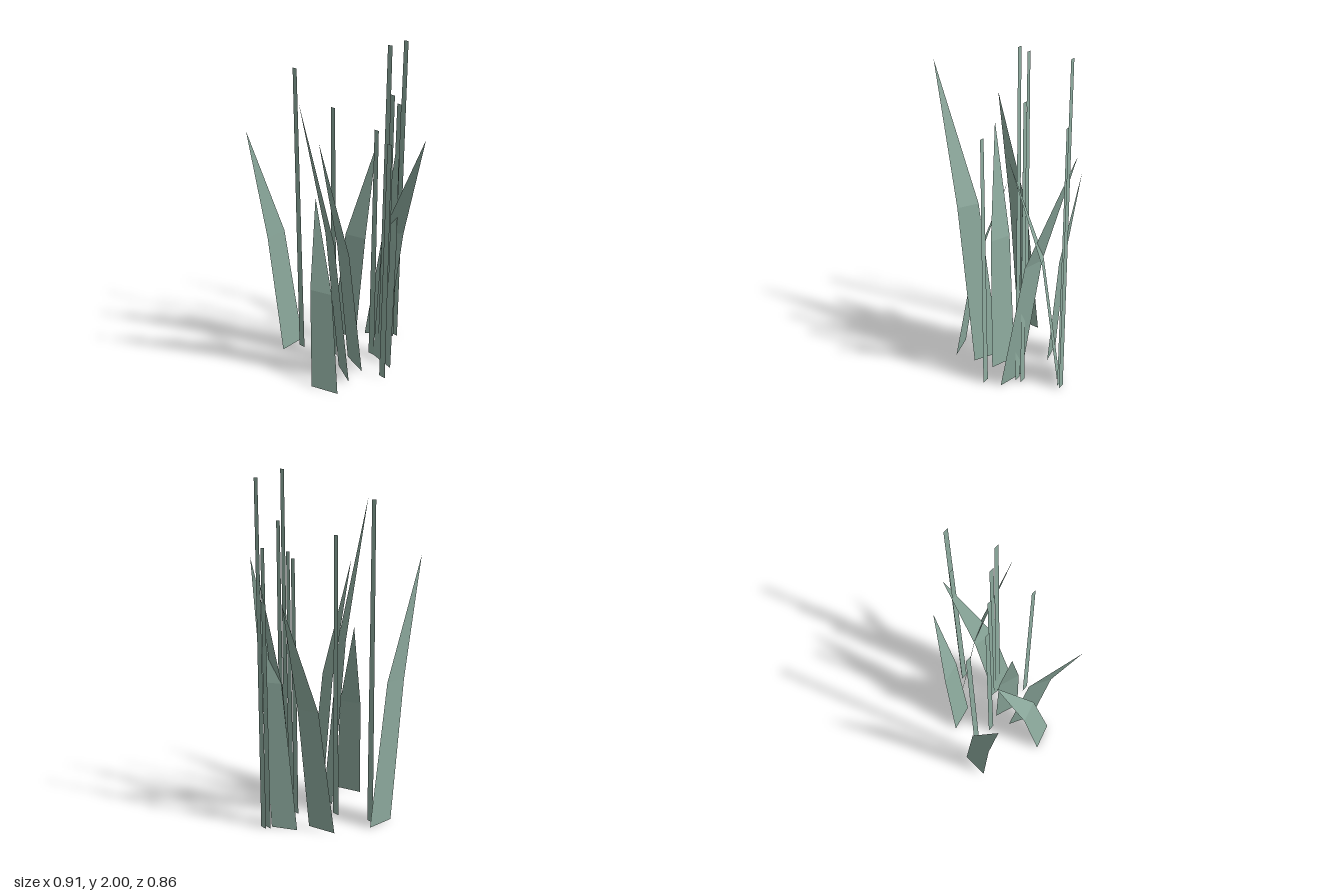
import * as THREE from 'three';

// Flat strip from horizontal rungs; each rung is centre x, y, z and half width x, z.
function strip(rungs) {
  const pos = [];
  for (let i = 0; i < rungs.length - 1; i++) {
    const [a, b, c, d] = [rungs[i], rungs[i + 1]].flatMap(([x, y, z, hx, hz]) => [
      [x - hx, y, z - hz], [x + hx, y, z + hz],
    ]);
    pos.push(...a, ...b, ...d);
    // a rung of no width is a pointed tip
    if (rungs[i + 1][3] || rungs[i + 1][4]) pos.push(...a, ...d, ...c);
  }
  const g = new THREE.BufferGeometry();
  g.setAttribute('position', new THREE.Float32BufferAttribute(pos, 3));
  g.computeVertexNormals();
  return g;
}

export function createModel() {
  const group = new THREE.Group();
  const reed = new THREE.MeshStandardMaterial({
    name: 'reedGreen', color: 0x8fada0, side: THREE.DoubleSide, flatShading: true,
  });
  const add = (name, rungs) => {
    const mesh = new THREE.Mesh(strip(rungs), reed);
    mesh.name = name;
    group.add(mesh);
  };

  // Bent leaves: base x, z, width vector x, z, lean x, z, height
  const leaves = [
    [-0.335, -0.033, -0.06, 0.155, -0.12, 0.233, 1.54],
    [-0.07, -0.259, 0.17, 0.012, 0.135, -0.171, 1.31],
    [0.125, -0.345, 0.15, -0.03, 0.33, 0.215, 1.51],
    [0.2575, -0.0925, 0.145, 0.085, -0.0525, -0.3375, 1.45],
    [0.1125, 0, 0.135, 0.1, -0.1825, 0.1, 1.495],
    [0.04, 0.301, 0.17, 0.002, -0.165, -0.267, 1.13],
    [0.086, 0.115, 0.118, 0.12, -0.106, 0.315, 1.83],
  ];
  leaves.forEach(([x, z, wx, wz, lx, lz, h], i) => add(`leaf${i + 1}`, [
    [x, 0, z, wx / 2, wz / 2],
    [x + 0.36 * lx, 0.55 * h, z + 0.36 * lz, 0.4 * wx, 0.4 * wz],
    [x + lx, h, z + lz, 0, 0],
  ]));

  // Upright tapered stems: x, z, height
  const stems = [
    [-0.271, -0.037, 1.845], [-0.05, -0.045, 1.65], [0.17, -0.138, 1.52], [0.215, -0.376, 1.6],
    [0.237, -0.127, 2], [0.236, -0.391, 1.96], [0.248, -0.16, 1.725], [0.313, 0.049, 1.53],
  ];
  stems.forEach(([x, z, h], i) => add(`stem${i + 1}`, [
    [x, 0, z, 0.021, 0.007],
    [x, h, z, 0.014, 0.0045],
  ]));
  return group;
}
